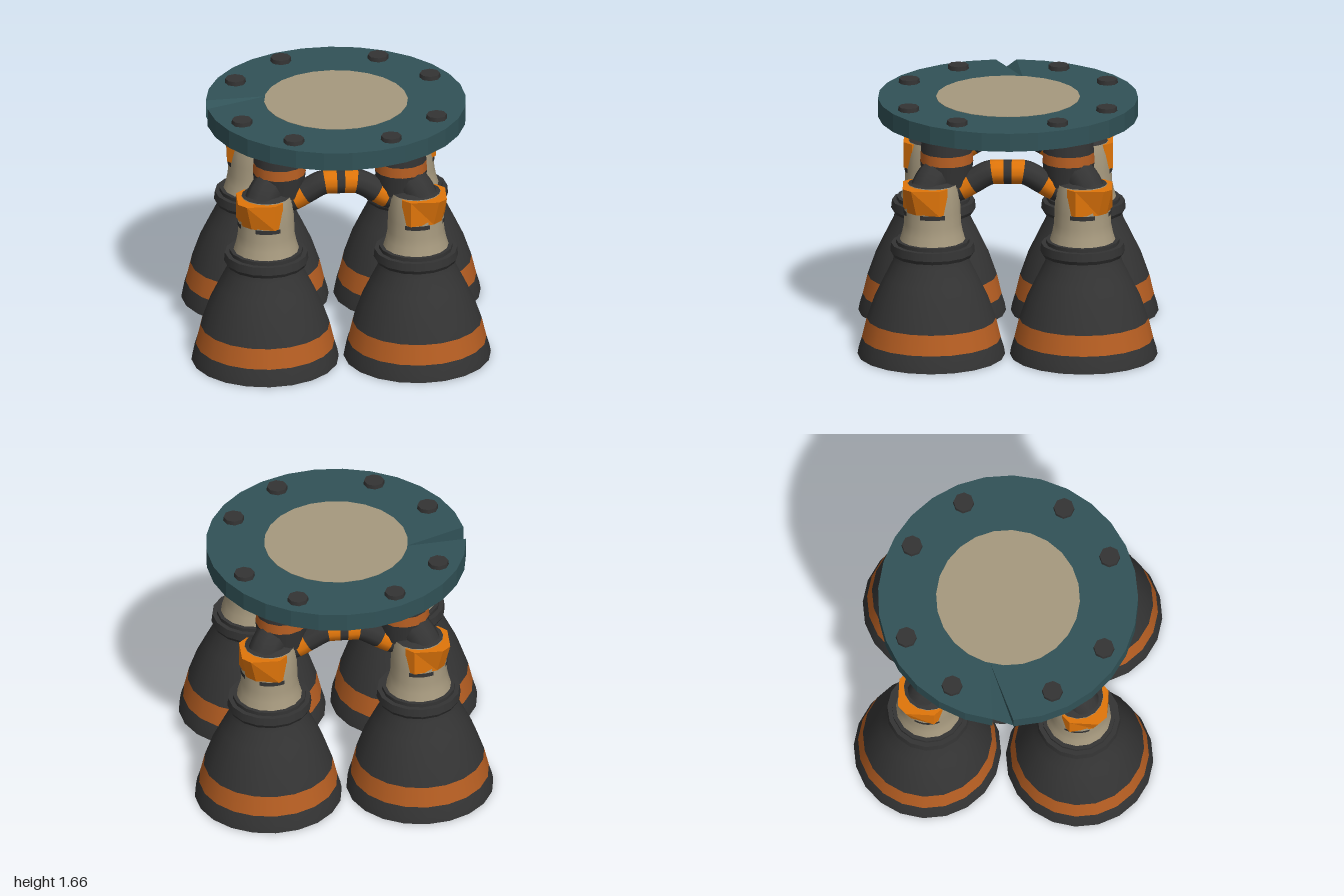
import * as THREE from 'three';

const mat = (name, color) => {
  const m = new THREE.MeshStandardMaterial({ color });
  m.name = name;
  return m;
};

export function createModel() {
  const grey = mat('charcoal grey', 0x343434);
  const rust = mat('rust orange', 0xb65e22);
  const orange = mat('bright orange', 0xe0750a);
  const tan = mat('warm tan', 0xa6997e);
  const teal = mat('dark teal', 0x315257);
  const brown = mat('dark brown', 0x4a2410);
  teal.side = THREE.DoubleSide;

  const model = new THREE.Group();
  model.name = 'engineCluster';
  const add = (parent, name, geometry, material, x = 0, y = 0, z = 0) => {
    const mesh = new THREE.Mesh(geometry, material);
    mesh.name = name;
    mesh.position.set(x, y, z);
    parent.add(mesh);
    return mesh;
  };
  const lathe = (pts, sides = 20) =>
    new THREE.LatheGeometry(pts.map(([r, y]) => new THREE.Vector2(r, y)), sides);
  const ring = (parent, name, r0, r1, y0, y1, material, sides, x, z) =>
    add(parent, name, new THREE.CylinderGeometry(r1, r0, y1 - y0, sides), material, x, (y0 + y1) / 2, z);
  // A flat outline in x and z, raised from y = 0
  const slab = (pts, depth) => {
    const shape = new THREE.Shape(pts.map(([x, z]) => new THREE.Vector2(x, -z)));
    return new THREE.ExtrudeGeometry(shape, { depth, bevelEnabled: false }).rotateX(-Math.PI / 2);
  };

  // Chamfered pump housing whose outer corner draws in towards its foot
  const a = 0.15, b = 0.095;
  const housing = slab([[a, b], [b, a], [-b, a], [-a, b], [-a, -b], [-b, -a], [b, -a], [a, -b]], 0.175);
  const hp = housing.attributes.position;
  for (let i = 0; i < hp.count; i++) {
    const x = hp.getX(i), z = hp.getZ(i);
    if (hp.getY(i) < 0.01 && x + z > 0.2) hp.setXYZ(i, x - 0.035, 0, z - 0.035);
  }
  housing.computeVertexNormals();

  // One engine with its mount, standing in the +x +z corner
  function addEngine(parent) {
    const c = 0.508;
    add(parent, 'bellLip', lathe([[0.492, 0], [0.483, 0.05], [0.463, 0.115]]), grey, c, 0, c);
    add(parent, 'bellStripe', lathe([[0.463, 0.115], [0.431, 0.25]]), rust, c, 0, c);
    add(parent, 'bellBody', lathe([[0.431, 0.25], [0.375, 0.41], [0.312, 0.54], [0.257, 0.65], [0.245, 0.7]]), grey, c, 0, c);
    add(parent, 'bellInside', lathe([[0, 0.66], [0.22, 0.65], [0.34, 0.41], [0.4, 0.25], [0.46, 0.01]]), grey, c, 0, c);
    add(parent, 'bellRim', lathe([[0.46, 0.01], [0.468, 0], [0.492, 0]]), grey, c, 0, c);
    ring(parent, 'collarLower', 0.268, 0.282, 0.69, 0.715, grey, 16, 0.5, 0.5);
    ring(parent, 'collar', 0.282, 0.276, 0.715, 0.77, grey, 16, 0.5, 0.5);
    ring(parent, 'collarTop', 0.245, 0.245, 0.77, 0.795, grey, 16, 0.5, 0.5);
    add(parent, 'throat',
      lathe([[0.22, 0.79], [0.202, 0.85], [0.19, 0.91], [0.187, 1], [0.18, 1.12], [0.165, 1.185]], 16),
      tan, 0.5, 0, 0.5);
    ring(parent, 'throatCap', 0.165, 0.12, 1.18, 1.2, grey, 16, 0.5, 0.5);
    // Dark gasket strips below the two outer faces of the housing
    for (const angle of [0, Math.PI / 2]) {
      add(parent, 'gasket', new THREE.CylinderGeometry(0.192, 0.192, 0.03, 6, 1, true, angle - 0.45, 0.9),
        grey, 0.5, 0.99, 0.5);
    }
    add(parent, 'pumpHousing', housing, orange, 0.548, 1.005, 0.548);
    const elbow = new THREE.CatmullRomCurve3([[0.54, 1.14], [0.515, 1.19], [0.47, 1.24], [0.4, 1.28]]
      .map(([d, y]) => new THREE.Vector3(d, y, d)));
    add(parent, 'elbowPipe', new THREE.TubeGeometry(elbow, 8, 0.113, 10), grey);

    // Strut up to the mounting plate
    const s = 0.406;
    ring(parent, 'strutFoot', 0.16, 0.177, 1.16, 1.31, grey, 14, s, s);
    ring(parent, 'strutBand', 0.177, 0.173, 1.31, 1.38, rust, 14, s, s);
    ring(parent, 'strutTop', 0.173, 0.163, 1.38, 1.52, grey, 14, s, s);
  }

  // Striped feed pipe joining two neighbouring engines
  const half = [[0.44, 1.105], [0.32, 1.135], [0.23, 1.185], [0.12, 1.245], [0.04, 1.25]];
  const path = new THREE.CatmullRomCurve3([
    ...half.map(([x, y]) => new THREE.Vector3(-x, y, 0.46)),
    ...half.reverse().map(([x, y]) => new THREE.Vector3(x, y, 0.46))]);
  const edges = [0.035, 0.115, 0.235, 0.32];
  const segments = 36, sides = 10;
  const pipe = new THREE.TubeGeometry(path, segments, 0.082, sides);
  for (let i = 0; i < segments; i++) {
    const x = Math.abs(path.getPointAt((i + 0.5) / segments).x);
    pipe.addGroup(i * sides * 6, sides * 6, edges.filter(e => e < x).length % 2);
  }

  for (let i = 0; i < 4; i++) {
    const quarter = new THREE.Group();
    quarter.name = 'engine' + (i + 1);
    quarter.rotation.y = i * Math.PI / 2;
    addEngine(quarter);
    add(quarter, 'feedPipe', pipe, [grey, orange]);
    model.add(quarter);
  }

  // Mounting plate with a torn wedge in its right rim
  const R = 0.868, low = 1.51, top = 1.635, n = 28;
  const start = Math.PI + 0.06, near = Math.PI * 3 - 0.1;
  const tip = [-0.46, -0.095];
  const outline = [tip];
  for (let i = 0; i <= n; i++) {
    const t = start + (near - start) * i / n;
    outline.push([Math.cos(t) * R, Math.sin(t) * R]);
  }
  add(model, 'mountingPlate', slab(outline, top - low), teal, 0, low, 0);
  const far = outline[1], close = outline[n + 1];
  const ramp = new THREE.BufferGeometry();
  ramp.setAttribute('position', new THREE.Float32BufferAttribute([
    tip[0], top, tip[1], close[0], low + 0.02, close[1], far[0], top, far[1]], 3));
  ramp.computeVertexNormals();
  add(model, 'tornRamp', ramp, teal);

  ring(model, 'plateUnderside', 0.85, 0.85, 1.505, 1.513, grey, 28, 0, 0);
  ring(model, 'undersideCentre', 0.52, 0.52, 1.502, 1.508, brown, 28, 0, 0);
  ring(model, 'plateCentre', 0.48, 0.48, 1.63, 1.638, tan, 24, 0, 0);

  // Bolt heads
  for (const sx of [-1, 1]) for (const sz of [-1, 1]) {
    for (const [x, z] of [[0.325, 0.66], [0.65, 0.335]]) {
      ring(model, 'bolt', 0.071, 0.068, 1.63, 1.664, grey, 8, sx * x, sz * z);
    }
  }
  return model;
}
